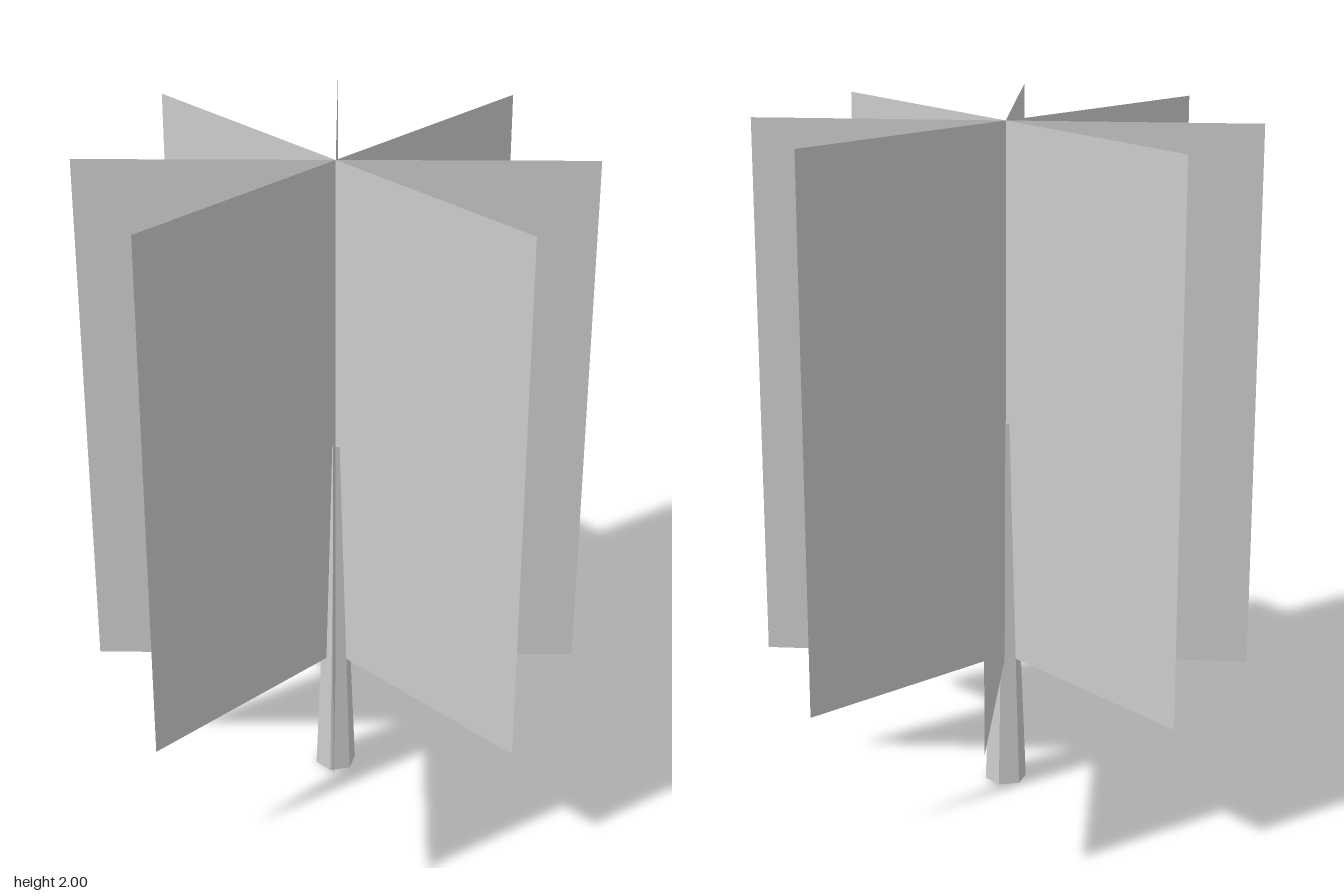
import * as THREE from 'three';

export function createModel() {
  const group = new THREE.Group();
  const trunkMaterial = new THREE.MeshStandardMaterial({ color: 0xcccccc, flatShading: true });
  const foliageMaterial = new THREE.MeshStandardMaterial({ color: 0xcccccc, side: THREE.DoubleSide });

  // Tapered six-sided trunk, one corner facing the front
  const trunkHeight = 1.125;
  const trunk = new THREE.Mesh(new THREE.CylinderGeometry(0.016, 0.062, trunkHeight, 6), trunkMaterial);
  trunk.name = 'trunk';
  trunk.position.y = trunkHeight / 2;
  group.add(trunk);

  // Four thin foliage cards crossing on the trunk axis
  const foliage = new THREE.Group();
  foliage.name = 'foliage';
  const cardGeometry = new THREE.PlaneGeometry(1.435, 1.6);
  for (let i = 0; i < 4; i++) {
    const card = new THREE.Mesh(cardGeometry, foliageMaterial);
    card.name = `foliageCard${i + 1}`;
    card.position.y = 1.2;
    card.rotation.y = (i * Math.PI) / 4;
    foliage.add(card);
  }
  group.add(foliage);

  return group;
}
